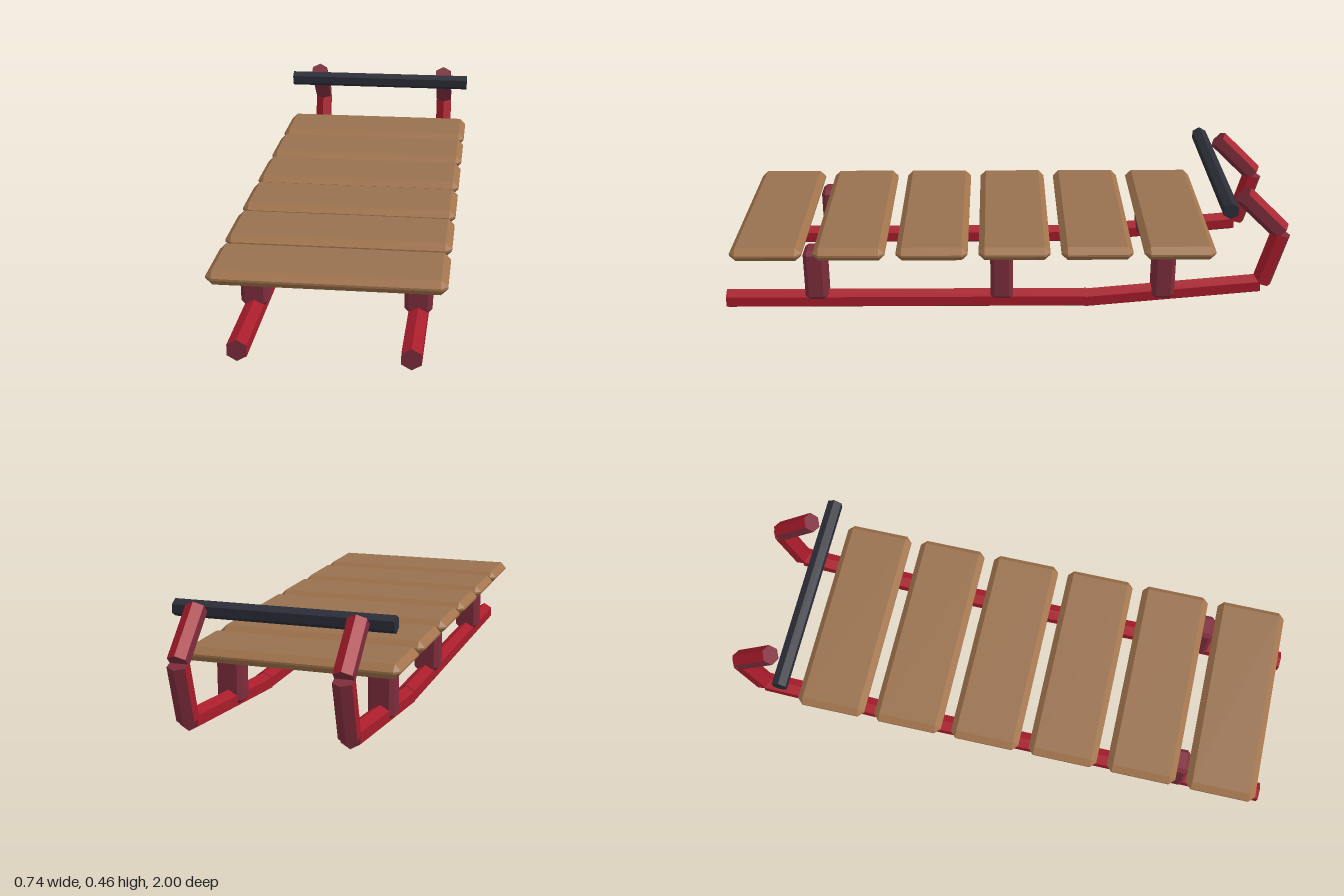
import * as THREE from 'three';
import { ConvexGeometry } from 'three/addons/geometries/ConvexGeometry.js';

const mat = (name, color) => Object.assign(new THREE.MeshStandardMaterial({ color }), { name });

// Flat-faced box with chamfered edges; top and bottom use group 0, the rest group 1
function bevelBox(w, h, d, b) {
  const pts = [];
  for (const i of [-1, 1]) for (const j of [-1, 1]) for (const k of [-1, 1]) {
    const x = w / 2, y = h / 2, z = d / 2;
    pts.push(
      new THREE.Vector3(i * x, j * (y - b), k * (z - b)),
      new THREE.Vector3(i * (x - b), j * y, k * (z - b)),
      new THREE.Vector3(i * (x - b), j * (y - b), k * z));
  }
  const geo = new ConvexGeometry(pts);
  const n = geo.attributes.normal;
  for (let t = 0; t < n.count; t += 3) geo.addGroup(t, 3, Math.abs(n.getY(t)) > 0.9 ? 0 : 1);
  return geo;
}

// Six-sided bar along y; one group per side face, then one for both caps
function hexBar(radius, length) {
  const geo = new THREE.CylinderGeometry(radius, radius, length, 6).toNonIndexed();
  geo.computeVertexNormals();
  geo.clearGroups();
  for (let k = 0; k < 6; k++) geo.addGroup(k * 6, 6, k);
  geo.addGroup(36, geo.attributes.position.count - 36, 6);
  return geo;
}

export function createModel() {
  const model = new THREE.Group();
  model.name = 'sled';
  const red = mat('runnerRed', 0xa81c2b);
  const maroon = mat('maroon', 0x7e2d3c);
  const wood = mat('wood', 0x99714f);
  const woodEdge = mat('woodEdge', 0xa2744c);
  const iron = mat('darkIron', 0x2c2e38);

  const add = (parent, name, geo, material, x, y, z) => {
    const mesh = new THREE.Mesh(geo, material);
    mesh.name = name;
    mesh.position.set(x, y, z);
    parent.add(mesh);
    return mesh;
  };

  // Runner segments: [z, y] start, [z, y] end
  const segments = [
    ['runnerBase', [1, 0.039], [-0.285, 0.039]],
    ['runnerRise', [-0.28, 0.036], [-0.903, 0.094]],
    ['runnerUpright', [-0.912, 0.1], [-0.965, 0.292]],
    ['runnerCurl', [-0.965, 0.3], [-0.823, 0.438]],
  ];
  // Face order: inner, side, outer, outer, side, inner, caps
  const lowerPaint = [red, red, maroon, maroon, red, red, maroon];
  const curlPaint = [maroon, maroon, red, red, maroon, maroon, maroon];

  const postGeo = bevelBox(0.09, 0.19, 0.08, 0.014);
  for (const side of [-1, 1]) {
    const x = side * 0.267;
    const runner = new THREE.Group();
    runner.name = side > 0 ? 'leftRunner' : 'rightRunner';
    model.add(runner);
    for (const [name, [z0, y0], [z1, y1]] of segments) {
      const geo = hexBar(0.036, Math.hypot(z1 - z0, y1 - y0));
      const paint = name === 'runnerCurl' ? curlPaint : lowerPaint;
      const bar = add(runner, name, geo, paint, x, (y0 + y1) / 2, (z0 + z1) / 2);
      bar.rotation.x = Math.atan2(z1 - z0, y1 - y0);
    }
    // Posts between runner and deck
    for (const z of [0.675, 0.017, -0.558]) add(runner, 'post', postGeo, [maroon, maroon], x, 0.146, z);
  }

  // Deck planks
  const plankGeo = bevelBox(0.738, 0.049, 0.25, 0.021);
  for (let i = 0; i < 6; i++) add(model, 'plank', plankGeo, [wood, woodEdge], 0, 0.2525, -0.604 + i * 0.288);

  // Cross handle at the curled end
  const handle = add(model, 'handleBar', hexBar(0.029, 0.738), Array(7).fill(iron), 0, 0.42, -0.764);
  handle.rotation.set(Math.PI / 2, 0, Math.PI / 2, 'XZY');
  return model;
}
